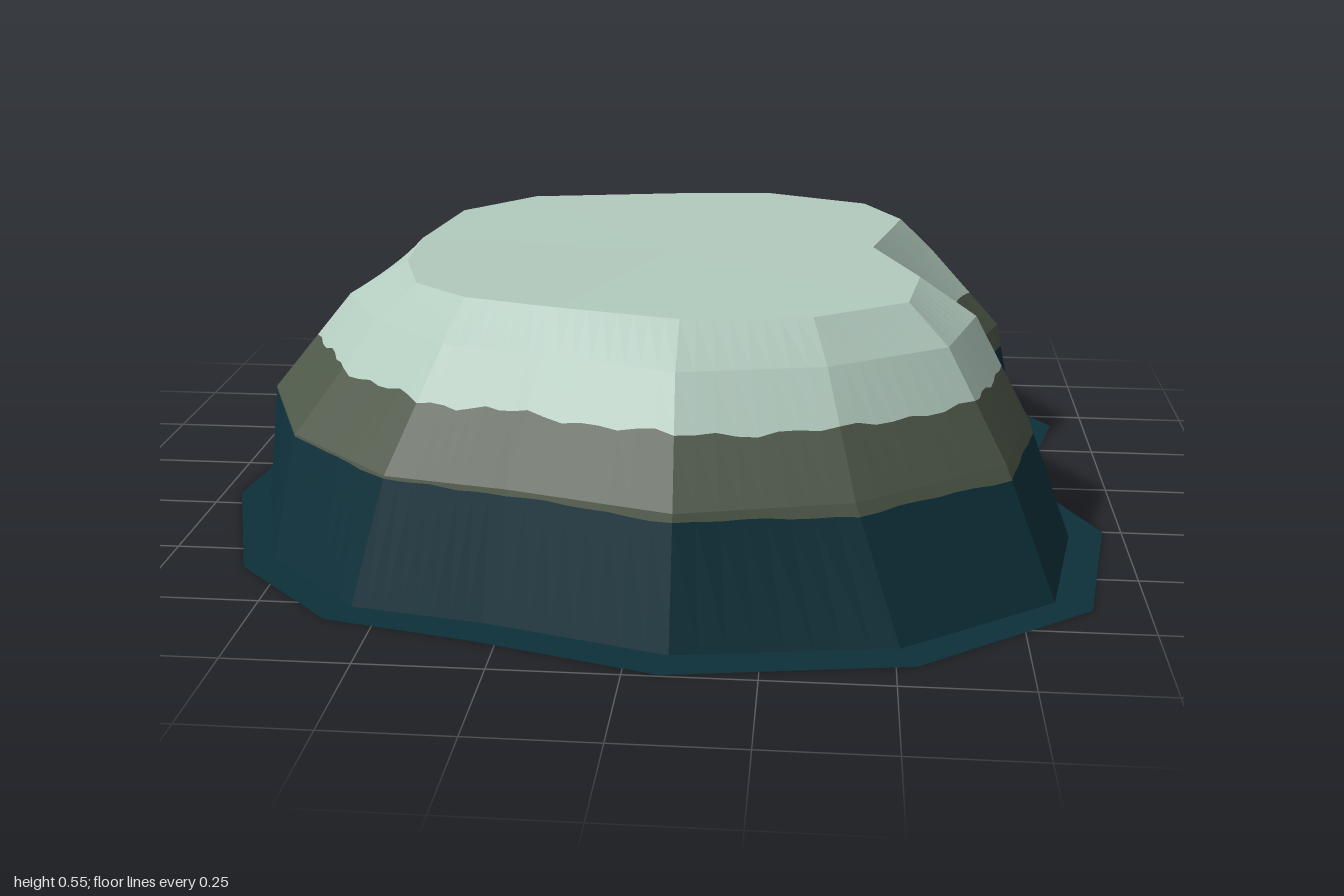
import * as THREE from 'three';

// Rings of [x, z, y], 16 columns each, running back -> left -> front -> right
const flange = [[-0.18, -0.99], [0.31, -1], [0.65, -0.85], [0.92, -0.43], [0.82, -0.05], [0.96, 0.25], [0.89, 0.65], [0.54, 0.92],
  [0.07, 0.995], [-0.31, 0.885], [-0.6, 0.82], [-0.83, 0.59], [-0.96, 0.19], [-0.91, -0.2], [-0.905, -0.58], [-0.65, -0.865]];
const base = [[-0.16, -0.92], [0.3, -0.935], [0.62, -0.79], [0.83, -0.41], [0.735, -0.06], [0.885, 0.28], [0.82, 0.62], [0.51, 0.85],
  [0.08, 0.915], [-0.29, 0.81], [-0.56, 0.76], [-0.78, 0.54], [-0.895, 0.18], [-0.845, -0.19], [-0.85, -0.55], [-0.61, -0.81]];
const knee = [[-0.14, -0.83, 0.28], [0.28, -0.82, 0.33], [0.58, -0.67, 0.3], [0.77, -0.37, 0.28], [0.645, -0.06, 0.27],
  [0.79, 0.24, 0.25], [0.72, 0.52, 0.25], [0.42, 0.75, 0.25], [0.08, 0.835, 0.25], [-0.25, 0.74, 0.25], [-0.5, 0.69, 0.25],
  [-0.74, 0.47, 0.25], [-0.87, 0.16, 0.25], [-0.79, -0.17, 0.25], [-0.77, -0.5, 0.26], [-0.58, -0.76, 0.27]];
const shoulder = [[-0.09, -0.68], [0.24, -0.69], [0.5, -0.57], [0.6, -0.36], [0.51, -0.05], [0.67, 0.22], [0.6, 0.45], [0.36, 0.6],
  [0.07, 0.66], [-0.2, 0.57], [-0.41, 0.52], [-0.58, 0.36], [-0.69, 0.16], [-0.64, -0.1], [-0.62, -0.42], [-0.46, -0.6]];
const rim = [[-0.01, -0.57], [0.2, -0.59], [0.44, -0.49], [0.525, -0.33], [0.455, -0.05], [0.55, 0.2], [0.52, 0.4], [0.33, 0.525],
  [0.07, 0.56], [-0.18, 0.5], [-0.38, 0.44], [-0.5, 0.34], [-0.56, 0.16], [-0.57, -0.05], [-0.53, -0.33], [-0.38, -0.5]];

const COLUMNS = 16, STEPS = 8, COUNT = COLUMNS * STEPS;

// Subdivide a ring along its straight edges
function refine(ring, height) {
  const points = ring.map(([x, z, y = height]) => new THREE.Vector3(x, y, z));
  return Array.from({ length: COUNT }, (_, i) => {
    const c = Math.floor(i / STEPS);
    return points[c].clone().lerp(points[(c + 1) % COLUMNS], (i % STEPS) / STEPS);
  });
}

// Ring cut through the wall between two rings, at a slightly ragged height
function cut(lower, upper, heightAt) {
  return lower.map((p, i) => {
    const q = upper[i];
    const t = (heightAt(p, i) - p.y) / (q.y - p.y);
    return p.clone().lerp(q, THREE.MathUtils.clamp(t, 0.02, 0.98));
  });
}

// Skin a stack of rings, listed from outside/bottom to inside/top
function band(name, rings, material) {
  const pos = [];
  for (let r = 0; r < rings.length - 1; r++) {
    for (let i = 0; i < COUNT; i++) {
      const j = (i + 1) % COUNT;
      const a = rings[r][i], b = rings[r][j], c = rings[r + 1][j], d = rings[r + 1][i];
      for (const v of [a, d, c, a, c, b]) pos.push(v.x, v.y, v.z);
    }
  }
  const geometry = new THREE.BufferGeometry();
  geometry.setAttribute('position', new THREE.Float32BufferAttribute(pos, 3));
  geometry.computeVertexNormals();
  const mesh = new THREE.Mesh(geometry, material);
  mesh.name = name;
  return mesh;
}

function flatMaterial(name, color) {
  const material = new THREE.MeshStandardMaterial({ color, flatShading: true, side: THREE.DoubleSide });
  material.name = name;
  return material;
}

export function createModel() {
  const group = new THREE.Group();
  group.name = 'plateau';

  const teal = flatMaterial('deepTeal', 0x0e303a);
  const olive = flatMaterial('olive', 0x4e5848);
  const pale = flatMaterial('paleGreen', 0xb2cabe);

  const outer = refine(flange, 0), foot = refine(base, 0), bend = refine(knee);
  const crest = refine(shoulder, 0.47), edge = refine(rim, 0.547);
  const centre = edge.map(() => new THREE.Vector3(0, 0.543, 0));

  // Colour borders with a little raggedness
  const ragged = (i) => Math.sin(i * 1.9) * 0.5 + Math.sin(i * 0.73 + 1) * 0.5;
  const lowLine = cut(foot, bend, (p, i) => 0.235 - 0.015 * p.x + 0.003 * ragged(i));
  const highLine = cut(bend, crest, (p, i) => 0.37 - 0.007 * p.x + 0.008 * ragged(i + 5));

  group.add(
    band('flangeAndLowerWall', [outer, foot, lowLine], teal),
    band('middleWall', [lowLine, bend, highLine], olive),
    band('shoulder', [highLine, crest, edge], pale),
    band('flatTop', [edge, centre], pale)
  );
  return group;
}
